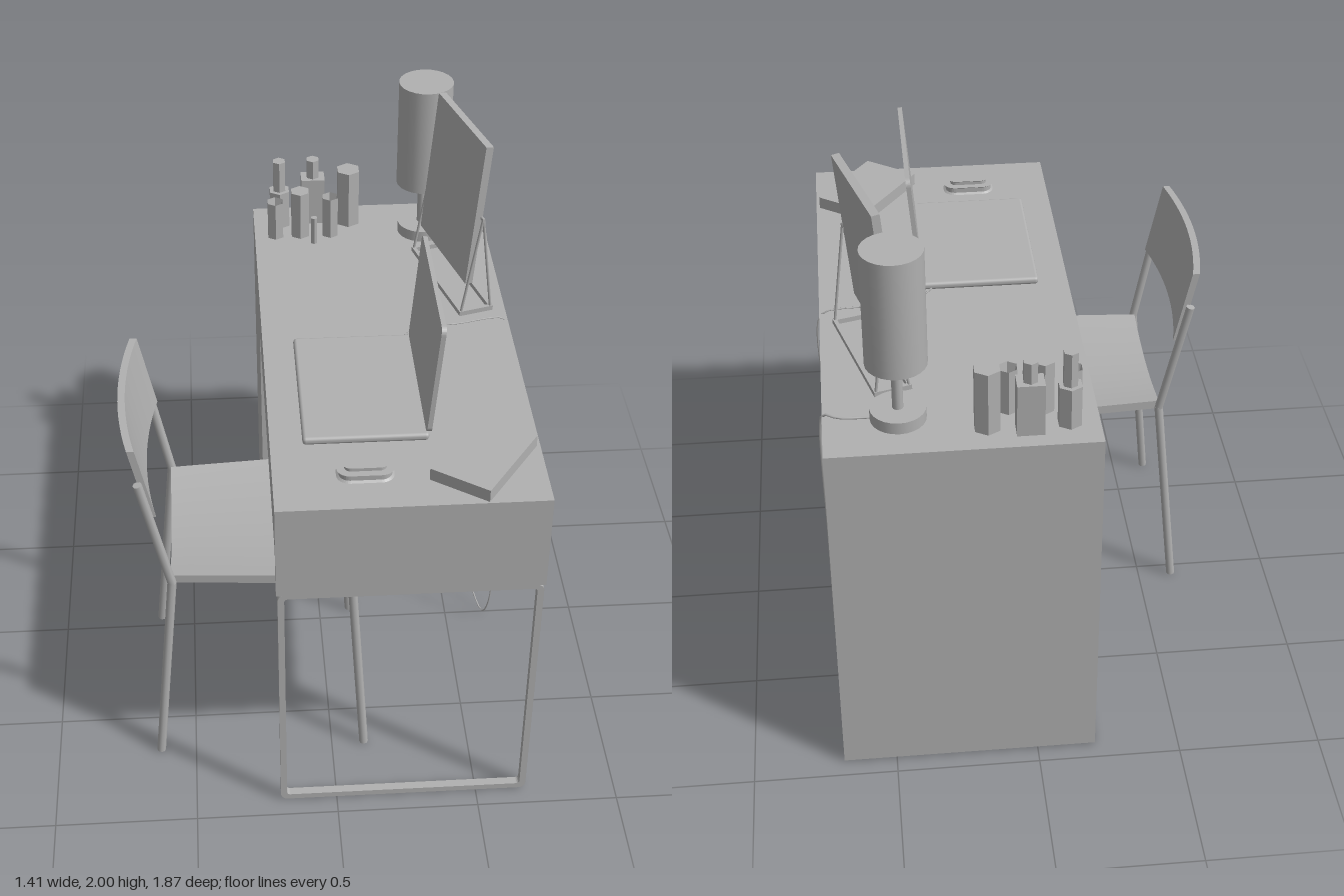
import * as THREE from 'three';
import { RoundedBoxGeometry } from 'three/addons/geometries/RoundedBoxGeometry.js';

const V = (x, y, z) => new THREE.Vector3(x, y, z);

export function createModel() {
  const model = new THREE.Group();
  const grey = new THREE.MeshStandardMaterial({ color: 0xb0b0b0 });
  grey.name = 'plain grey';
  const black = new THREE.MeshStandardMaterial({ color: 0x101010 });
  black.name = 'black underside';

  const add = (name, geo, parent = model, mat = grey) => {
    const mesh = new THREE.Mesh(geo, mat);
    mesh.name = name;
    parent.add(mesh);
    return mesh;
  };
  const group = (name) => {
    const g = new THREE.Group();
    g.name = name;
    model.add(g);
    return g;
  };
  // box given by its low and high corners
  const box = (name, x0, x1, y0, y1, z0, z1, parent) => {
    const m = add(name, new THREE.BoxGeometry(x1 - x0, y1 - y0, z1 - z0), parent);
    m.position.set((x0 + x1) / 2, (y0 + y1) / 2, (z0 + z1) / 2);
    return m;
  };
  // upright prism standing at height y
  const prism = (name, x, y, z, r, h, sides, parent) => {
    let geo = new THREE.CylinderGeometry(r, r, h, sides);
    if (sides < 10) { geo = geo.toNonIndexed(); geo.computeVertexNormals(); }
    const m = add(name, geo, parent);
    m.position.set(x, y + h / 2, z);
    return m;
  };
  // straight bar from a to b
  const rod = (name, a, b, r, parent, mat = grey, sides = 8) => {
    const dir = b.clone().sub(a);
    const m = add(name, new THREE.CylinderGeometry(r, r, dir.length(), sides), parent, mat);
    m.position.copy(a).add(b).multiplyScalar(0.5);
    m.quaternion.setFromUnitVectors(V(0, 1, 0), dir.normalize());
    return m;
  };
  // move every vertex by a rule
  const bend = (geo, rule) => {
    const p = geo.attributes.position, v = V(0, 0, 0);
    for (let i = 0; i < p.count; i++) {
      rule(v.fromBufferAttribute(p, i));
      p.setXYZ(i, v.x, v.y, v.z);
    }
    geo.computeVertexNormals();
    return geo;
  };
  const roundRect = (path, x0, y0, x1, y1, r) => {
    path.absarc(x0 + r, y0 + r, r, Math.PI, Math.PI * 1.5);
    path.absarc(x1 - r, y0 + r, r, Math.PI * 1.5, Math.PI * 2);
    path.absarc(x1 - r, y1 - r, r, 0, Math.PI / 2);
    path.absarc(x0 + r, y1 - r, r, Math.PI / 2, Math.PI);
    path.closePath();
    return path;
  };

  // Desk: top block, cabinet, end panel and looped leg frame
  const desk = group('desk');
  box('deskTop', -0.205, 0.685, 1.15, 1.34, -0.345, 0.93, desk);
  box('cabinet', -0.205, 0.685, 0.002, 1.34, -0.935, -0.345, desk);
  box('endPanel', -0.205, 0.685, 0.98, 1.15, 0.9, 0.93, desk);
  const base = add('cabinetUnderside', new THREE.PlaneGeometry(0.89, 0.59), desk, black);
  base.rotation.x = Math.PI / 2;
  base.position.set(0.24, 0, -0.64);
  const loop = roundRect(new THREE.Shape(), -0.2, 0, 0.68, 0.982, 0.025);
  loop.holes.push(roundRect(new THREE.Path(), -0.178, 0.022, 0.658, 0.965, 0.012));
  add('legFrame', new THREE.ExtrudeGeometry(loop, { depth: 0.03, bevelEnabled: false, curveSegments: 4 }), desk)
    .position.z = 0.9;

  // Chair: dished seat with a falling front lip
  const chair = group('chair');
  const cz = 0.307;
  add('seat', bend(new THREE.BoxGeometry(1, 0.034, 1, 10, 1, 14), (v) => {
    const u = v.x + 0.5, w = v.z;
    const lip = Math.max(0, u - 0.88) / 0.12;
    v.y += 0.787 - 0.034 * (1 - 4 * w * w) - 0.04 * lip * lip;
    v.x = -0.555 + 0.64 * u;
    v.z = cz + w * (0.6 + 0.085 * u);
  }), chair);
  // backrest, bowed and leaning backward
  add('backrest', bend(new THREE.BoxGeometry(0.025, 0.28, 0.65, 1, 1, 14), (v) => {
    const w = v.z / 0.325;
    v.x += -0.632 - 0.21 * v.y - 0.035 * (1 - w * w);
    v.y += 1.23;
    v.z += cz;
  }), chair);
  const legMats = [grey, grey, black];
  for (const s of [-1, 1]) {
    rod('frontLeg', V(0.118, 0, cz + s * 0.362), V(0.07, 0.77, cz + s * 0.32), 0.016, chair, legMats);
    rod('backLeg', V(-0.628, 0, cz + s * 0.355), V(-0.552, 0.79, cz + s * 0.318), 0.016, chair, legMats);
    rod('backUpright', V(-0.552, 0.785, cz + s * 0.318), V(-0.645, 1.24, cz + s * 0.338), 0.016, chair);
  }

  // Laptop
  const laptop = group('laptop');
  add('laptopBase', new RoundedBoxGeometry(0.42, 0.028, 0.59, 2, 0.012), laptop).position.set(0.113, 1.356, 0.307);
  const lid = add('laptopScreen', new THREE.ExtrudeGeometry(
    roundRect(new THREE.Shape(), -0.292, 0, 0.292, 0.415, 0.025),
    { depth: 0.016, bevelEnabled: false, curveSegments: 4 }), laptop);
  lid.rotation.set(0, Math.PI / 2, -0.085, 'ZYX');
  lid.position.set(0.313, 1.37, 0.307);

  // Mouse: low body with a smaller raised shell
  const mouse = group('mouse');
  [[0.0, 0.095, 0.055], [0.018, 0.077, 0.038]].forEach(([lift, hx, hz], i) => {
    const g = new THREE.ExtrudeGeometry(roundRect(new THREE.Shape(), -hx, -hz, hx, hz, hz * 0.8),
      { depth: 0.018, bevelEnabled: true, bevelSize: -0.008, bevelThickness: 0.006, bevelSegments: 1, bevelOffset: 0, curveSegments: 4 });
    const m = add(i ? 'mouseTop' : 'mouseBody', g, mouse);
    m.rotation.x = -Math.PI / 2;
    m.position.set(0.097, 1.346 + lift, 0.75);
  });

  // Book
  const book = add('book', new THREE.BoxGeometry(0.217, 0.045, 0.337));
  book.position.set(0.487, 1.3625, 0.724);
  book.rotation.y = -0.61;

  // Tilting panel on a wire stand; local z runs along its length
  const easel = group('panelStand');
  easel.position.set(0.513, 1.34, -0.375);
  easel.rotation.y = 0.272;
  const panel = add('panel', new THREE.BoxGeometry(0.028, 0.545, 0.43), easel);
  panel.position.set(0.0, 0.39, 0);
  panel.rotation.z = -0.095;
  for (const s of [-1, 1]) {
    box('standRail', s * 0.058 - 0.007, s * 0.058 + 0.007, 0, 0.018, -0.238, 0.238, easel);
    box('standEnd', -0.065, 0.065, 0, 0.018, s * 0.231 - 0.007, s * 0.231 + 0.007, easel);
    for (const t of [-1, 1])
      rod('standStrut', V(t * 0.058, 0.01, s * 0.231), V(0.01, 0.39, s * 0.231), 0.005, easel, grey, 6);
    rod('pivot', V(0.01, 0.385, s * 0.21), V(0.01, 0.385, s * 0.237), 0.006, easel, grey, 6);
  }

  // Lamp
  const lamp = group('lamp');
  prism('lampBase', 0.44, 1.34, -0.74, 0.092, 0.042, 24, lamp);
  prism('lampPole', 0.44, 1.38, -0.74, 0.018, 0.19, 12, lamp);
  prism('lampShade', 0.44, 1.555, -0.74, 0.101, 0.415, 24, lamp);

  // Bottles and pots in the corner
  const pots = group('bottles');
  prism('bottleBody', -0.105, 1.34, -0.82, 0.042, 0.15, 6, pots);
  prism('bottleNeck', -0.105, 1.49, -0.82, 0.026, 0.125, 6, pots);
  box('squareBottle', -0.02, 0.07, 1.34, 1.53, -0.88, -0.81, pots);
  prism('squareBottleNeck', 0.025, 1.53, -0.845, 0.026, 0.075, 6, pots);
  prism('tallPot', 0.16, 1.34, -0.82, 0.047, 0.23, 6, pots);
  prism('midPot', -0.03, 1.34, -0.735, 0.038, 0.19, 6, pots);
  prism('smallStick', 0.02, 1.34, -0.67, 0.013, 0.11, 6, pots);
  // open cups with a tapering hollow
  for (const [x, h] of [[-0.125, 0.15], [0.085, 0.165]]) {
    const pts = [[0, 0], [0.033, 0], [0.033, h], [0, 0.02]].map(([a, b]) => new THREE.Vector2(a, b));
    const geo = new THREE.LatheGeometry(pts, 6).toNonIndexed();
    geo.computeVertexNormals();
    add('openCup', geo, pots).position.set(x, 1.34, -0.73);
  }

  // Wall socket and plug
  box('socketPlate', 0.693, 0.706, 0.255, 0.42, -0.19, -0.095);
  box('plug', 0.632, 0.693, 0.33, 0.395, -0.175, -0.11);

  // Cables
  const cable = (name, r, pts) => add(name, new THREE.TubeGeometry(
    new THREE.CatmullRomCurve3(pts.map((p) => V(...p))), 70, r, 6));
  cable('lampCable', 0.005, [
    [0.665, 0.33, -0.145], [0.632, 0.22, -0.16], [0.65, 0.08, -0.2], [0.675, 0.008, -0.29],
    [0.69, 0.04, -0.4], [0.69, 0.2, -0.55], [0.69, 0.45, -0.64], [0.69, 0.85, -0.68],
    [0.69, 1.31, -0.7], [0.68, 1.347, -0.71], [0.63, 1.347, -0.735], [0.53, 1.347, -0.74]]);
  cable('laptopCable', 0.003, [
    [0.64, 0.34, -0.125], [0.585, 0.22, -0.12], [0.61, 0.08, -0.07], [0.645, 0.006, 0],
    [0.66, 0.09, 0.055], [0.67, 0.3, 0.07], [0.68, 0.65, 0.025], [0.69, 1.0, -0.045],
    [0.69, 1.31, -0.1], [0.67, 1.345, -0.1], [0.5, 1.345, -0.075], [0.35, 1.345, -0.055], [0.28, 1.35, 0.02]]);

  return model;
}
